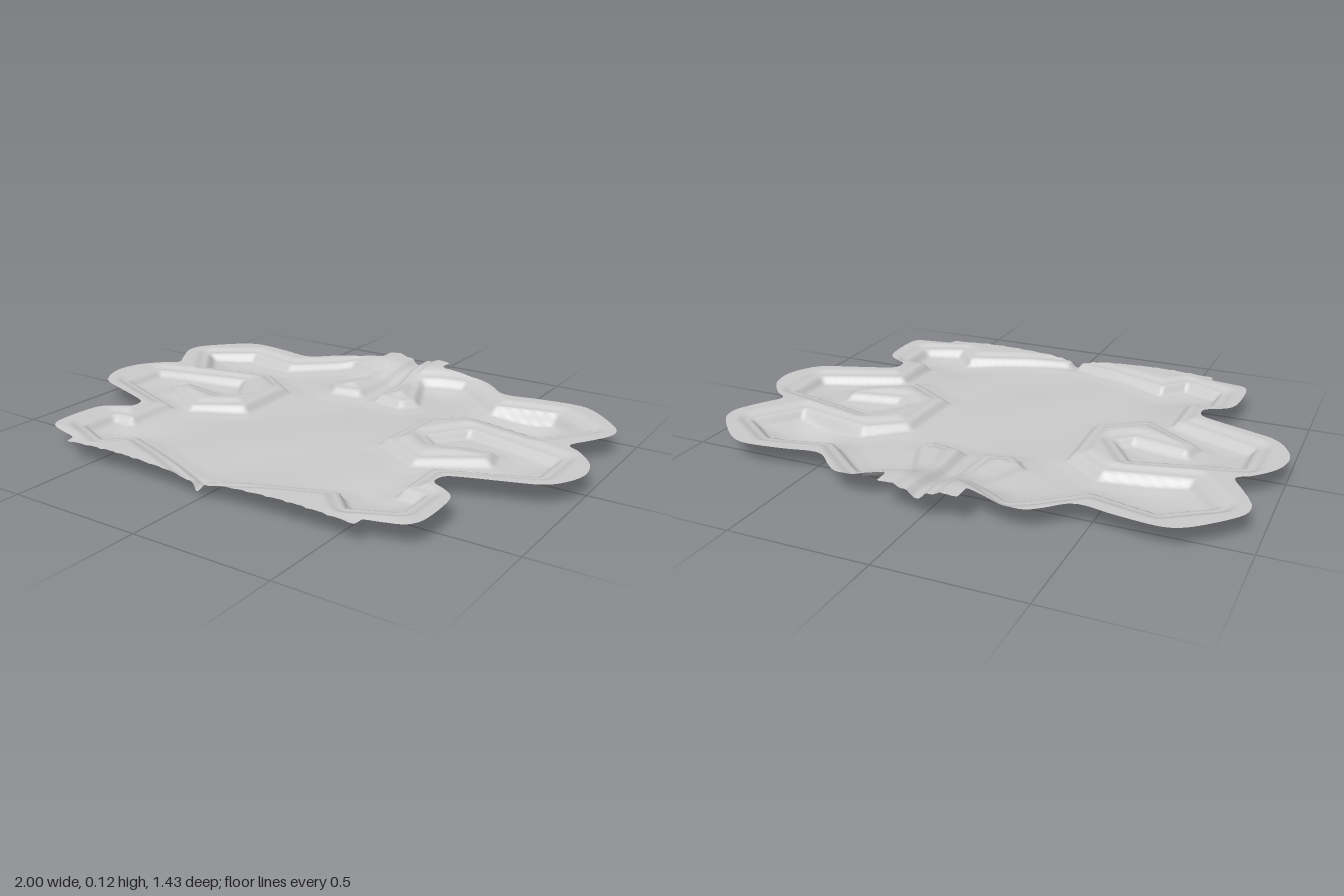
import * as THREE from 'three';

const STEP = 0.01;
const pts = (a) => a.map(([x, z]) => new THREE.Vector2(x, z));
const mirrorLoop = (half) => [...half, ...half.slice().reverse().map((p) => new THREE.Vector2(-p.x, p.y))];

// Scalloped outer edge of the left half, back to front
const lobes = pts([
  [0.14, -0.645], [0.19, -0.655], [0.26, -0.665], [0.33, -0.655], [0.38, -0.62], [0.46, -0.555],
  [0.59, -0.575], [0.72, -0.59], [0.79, -0.575], [0.86, -0.52], [0.94, -0.43], [0.955, -0.37],
  [0.94, -0.32], [0.9, -0.25], [0.865, -0.185], [0.91, -0.15], [0.96, -0.095], [0.99, -0.04],
  [1, 0.04], [0.97, 0.12], [0.92, 0.175], [0.83, 0.21], [0.7, 0.255], [0.64, 0.285],
  [0.635, 0.34], [0.685, 0.37], [0.725, 0.405], [0.74, 0.47], [0.74, 0.59], [0.715, 0.64],
  [0.655, 0.66], [0.585, 0.675],
]);

// Wall line of the recess on the left half: back channel, upper lobe, spiral, lower lobe, front notch
const wall = pts([
  [0.022, -0.74], [0.03, -0.5], [0.04, -0.31], [0.155, -0.29], [0.195, -0.34], [0.11, -0.54],
  [0.26, -0.61], [0.47, -0.435], [0.7, -0.485], [0.85, -0.38], [0.74, -0.23], [0.45, -0.29],
  [0.31, -0.19], [0.3, 0.08], [0.48, 0.19], [0.69, 0.05], [0.67, -0.025], [0.47, 0.015],
  [0.42, -0.03], [0.51, -0.16], [0.87, -0.07], [0.87, 0.09], [0.56, 0.215], [0.56, 0.415],
  [0.64, 0.425], [0.64, 0.555], [0.5, 0.615], [0.42, 0.53], [0.02, 0.68], [0.012, 0.73],
]);

// A torn edge running along x
function tornEdge(x0, x1, z, n) {
  return Array.from({ length: n + 1 }, (_, i) =>
    new THREE.Vector2(x0 + ((x1 - x0) * i) / n, z + 0.005 * Math.sin(i * 2.3) * Math.cos(i * 0.7)));
}

// Nearest point on a closed loop, with signed distance (positive inside)
function nearest(loop, x, z) {
  let best = Infinity, bx = 0, bz = 0, inside = false;
  for (let i = 0, j = loop.length - 1; i < loop.length; j = i++) {
    const a = loop[j], b = loop[i];
    const dx = b.x - a.x, dz = b.y - a.y;
    const t = THREE.MathUtils.clamp(((x - a.x) * dx + (z - a.y) * dz) / (dx * dx + dz * dz || 1), 0, 1);
    const px = a.x + dx * t, pz = a.y + dz * t;
    const d = (x - px) ** 2 + (z - pz) ** 2;
    if (d < best) { best = d; bx = px; bz = pz; }
    if ((a.y > z) !== (b.y > z) && x < a.x + (dx * (z - a.y)) / dz) inside = !inside;
  }
  return { x: bx, z: bz, d: Math.sqrt(best) * (inside ? 1 : -1) };
}

// Smooth hollow or bump
const blob = (x, z, cx, cz, r) => Math.exp(-((x - cx) ** 2 + (z - cz) ** 2) / (r * r));

// Height of the pressed sheet
function heightAt(x, z, recess) {
  const ss = THREE.MathUtils.smoothstep;
  const d = nearest(recess, x, z).d;
  const inside = ss(d, -0.014, 0.014);
  let y = 0.083 - 0.012 * ss(d, -0.065, -0.03) - 0.026 * inside;
  y -= 0.005 * ss(d, 0.01, 0.08);
  // uneven floor
  y += inside * (0.004 * Math.sin(5 * x + 2 * z) * Math.cos(6 * z - 2 * x) + 0.002 * Math.sin(13 * x + 9 * z));
  y -= inside * (0.034 * blob(x, z, 0.65, -0.36, 0.14) + 0.016 * blob(x, z, -0.65, -0.36, 0.14));
  y -= inside * 0.01 * (blob(x, z, 0.48, 0.5, 0.15) + blob(x, z, -0.48, 0.5, 0.15));
  // neck rises toward the back, front edge sags slightly
  y += 0.035 * ss(-z, 0.46, 0.66) * (1 - ss(Math.abs(x), 0.08, 0.36));
  y -= 0.012 * ss(z, 0.62, 0.71) * (0.5 + 0.5 * Math.cos(9 * x));
  return y;
}

function pressedSheet() {
  const outline = mirrorLoop([
    ...tornEdge(0, 0.14, -0.715, 9),
    ...new THREE.SplineCurve(lobes).getPoints(110),
    ...tornEdge(0.58, 0, 0.71, 32),
  ]);
  const recess = mirrorLoop(wall);
  const nx = Math.round(2.04 / STEP), nz = Math.round(1.48 / STEP);
  const position = [], index = [], inside = [];
  // grid whose outer vertices are pulled onto the outline
  for (let j = 0; j <= nz; j++) {
    for (let i = 0; i <= nx; i++) {
      let x = -1.02 + i * STEP, z = -0.74 + j * STEP;
      const n = nearest(outline, x, z);
      inside.push(n.d > 0);
      if (n.d <= 0) { x = n.x; z = n.z; }
      position.push(x, n.d > -2 * STEP ? heightAt(x, z, recess) : 0.08, z);
    }
  }
  for (let j = 0; j < nz; j++) {
    for (let i = 0; i < nx; i++) {
      const a = j * (nx + 1) + i, b = a + 1, c = a + nx + 1, e = c + 1;
      if (inside[a] || inside[b] || inside[c] || inside[e]) index.push(a, c, b, b, c, e);
    }
  }
  const g = new THREE.BufferGeometry();
  g.setAttribute('position', new THREE.Float32BufferAttribute(position, 3));
  g.setIndex(index);
  // rest the lowest hollow on the ground
  let low = Infinity;
  for (const k of index) low = Math.min(low, position[3 * k + 1]);
  g.translate(0, -low, 0);
  g.computeVertexNormals();
  return g;
}

export function createModel() {
  const group = new THREE.Group();
  group.name = 'reliefPanel';
  const material = new THREE.MeshStandardMaterial({ color: 0xcccccc, side: THREE.DoubleSide });
  const sheet = new THREE.Mesh(pressedSheet(), material);
  sheet.name = 'pressedSheet';
  group.add(sheet);
  return group;
}
